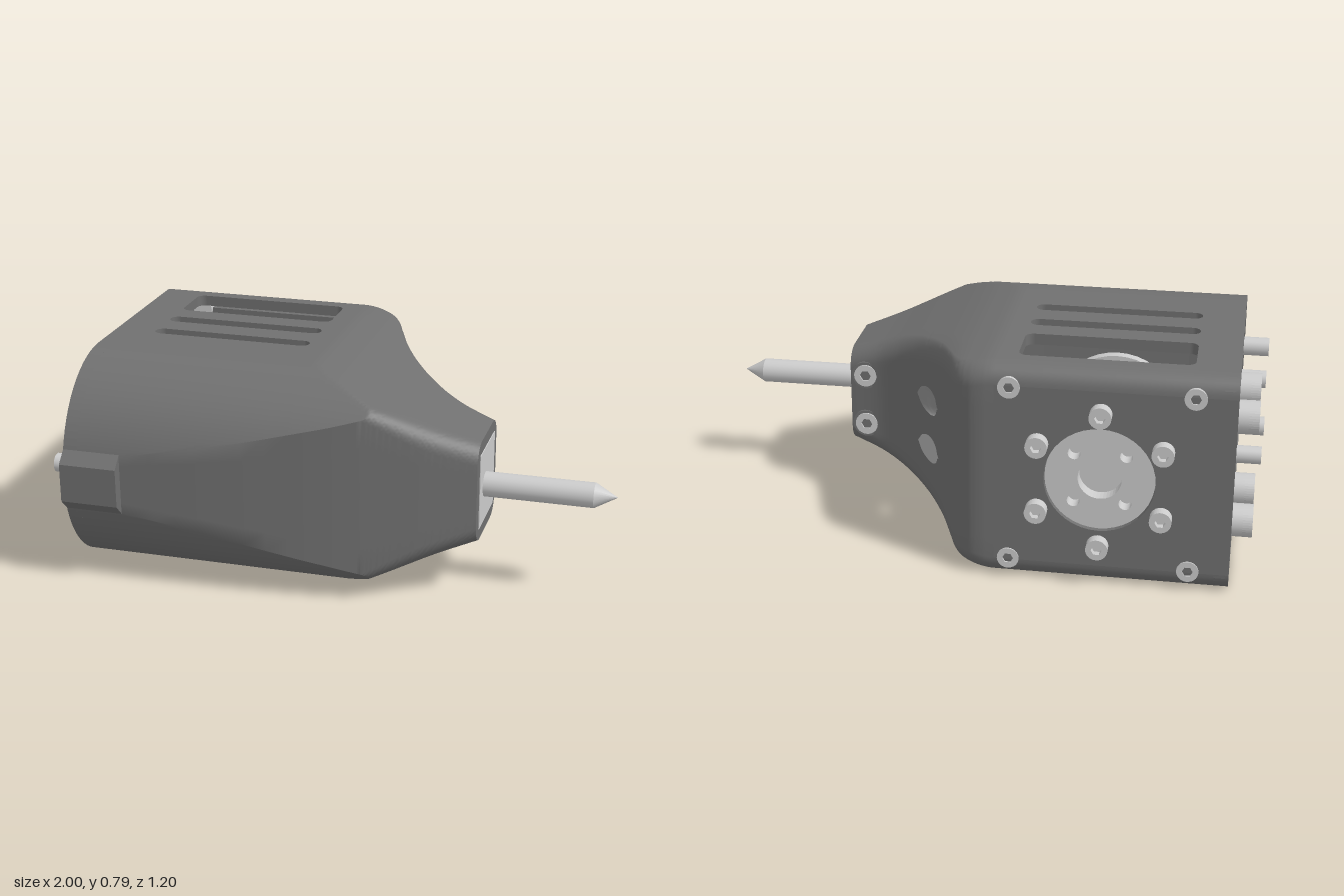
import * as THREE from 'three';
import { toCreasedNormals } from 'three/addons/utils/BufferGeometryUtils.js';

const CY = 0.395, BACK = -0.56, REAR = -0.91, FLAT_END = -0.1, NOSE = 0.53;
const MX = -0.46; // motor axis
const mat = (color) => new THREE.MeshStandardMaterial({ color, side: THREE.DoubleSide });
const dark = mat(0x707070), mid = mat(0x8c8c8c), light = mat(0xcccccc);

// Monotone smooth interpolation through [x, value] points
function smooth(pts) {
  const s = pts.slice(1).map((p, i) => (p[1] - pts[i][1]) / (p[0] - pts[i][0]));
  const t = pts.map((_, i) => {
    const a = s[Math.max(i - 1, 0)], b = s[Math.min(i, s.length - 1)];
    return a * b > 0 ? (2 * a * b) / (a + b) : 0;
  });
  return (x) => {
    let i = 0;
    while (i < pts.length - 2 && x > pts[i + 1][0]) i++;
    const d = pts[i + 1][0] - pts[i][0], u = (x - pts[i][0]) / d, v = 1 - u;
    return pts[i][1] * (1 + 2 * u) * v * v + pts[i + 1][1] * u * u * (3 - 2 * u)
      + t[i] * d * u * v * v - t[i + 1] * d * u * u * v;
  };
}
const backZ = smooth([[-0.91, BACK], [-0.07, BACK], [-0.03, -0.556], [0, -0.545], [0.03, -0.523], [0.055, -0.485],
  [0.08, -0.425], [0.13, -0.31], [0.2, -0.195], [0.27, -0.115], [0.35, -0.055], [0.43, -0.02], [0.53, 0]]);
const frontZ = smooth([[-0.91, 0.57], [-0.7, 0.557], [-0.4, 0.538], [0, 0.485], [0.3, 0.41], [0.53, 0.335]]);
const halfH = smooth([[-0.91, CY], [-0.1, CY], [0, 0.378], [0.2, 0.31], [0.4, 0.23], [0.53, 0.185]]);
const dome = (z) => (z < 0.2 ? CY : CY * Math.sqrt(Math.max(0, 1 - ((z - 0.2) / 0.37) ** 2)));

// Closed cross-section [z, y] at x; the third wall segment spans the access hole
const HALF = 46;
function section(x) {
  const zb = backZ(x), zf = frontZ(x), h = halfH(x), rb = 0.07;
  const rf = 0.07 * THREE.MathUtils.smoothstep(x, -0.2, 0.4) + 0.0001;
  const w = 0.05 * Math.sqrt(Math.max(0, 1 - ((zb + 0.205) / 0.065) ** 2));
  const half = [], wall = h - rb, lo = 0.095 - w, hi = 0.095 + w;
  for (let i = 0; i <= 3; i++) half.push([zb, (lo * i) / 3]);
  for (let i = 0; i <= 3; i++) half.push([zb, hi + ((wall - hi) * i) / 3]);
  for (let i = 1; i <= 8; i++) {
    const a = (i / 8) * Math.PI / 2;
    half.push([zb + rb - rb * Math.cos(a), wall + rb * Math.sin(a)]);
  }
  const zs = Math.min(0.2, zf - rf);
  for (let i = 1; i <= 4; i++) half.push([zb + rb + ((zs - zb - rb) * i) / 4, h]);
  let f = h;
  for (let i = 1; i <= 24; i++) {
    const z = zs + (zf - zs) * Math.sin((i / 24) * Math.PI / 2), d = Math.max(0, z - zf + rf);
    f = Math.min(h, dome(z), h - rf + Math.sqrt(Math.max(0, rf * rf - d * d)));
    half.push([z, f]);
  }
  for (let i = 1; i <= 3; i++) half.push([zf, f * (1 - i / 3)]);
  const lower = half.slice(1, -1).reverse().map(([z, y]) => [z, -y]);
  return half.concat(lower);
}

function shellGeometry() {
  const xs = [];
  for (let i = 0; i < 10; i++) xs.push(REAR + ((FLAT_END - REAR) * i) / 10);
  for (let i = 0; i <= 90; i++) xs.push(FLAT_END + ((NOSE - FLAT_END) * i) / 90);
  const pos = [], idx = [], n = HALF * 2;
  xs.forEach((x) => section(x).forEach(([z, y]) => pos.push(x, y + CY, z)));
  for (let i = 0; i < xs.length - 1; i++) for (let j = 0; j < n; j++) {
    const k = j < HALF ? j : n - 1 - j;
    // flat rear walls are separate plates; segment 3 is the hole
    if (k === 3 || (i < 10 && (k < 7 || (k >= 15 && k < 19)))) continue;
    const a = i * n + j, c = i * n + ((j + 1) % n);
    idx.push(a, c, a + n, c, c + n, a + n);
  }
  const g = new THREE.BufferGeometry();
  g.setAttribute('position', new THREE.Float32BufferAttribute(pos, 3));
  g.setIndex(idx);
  return toCreasedNormals(g, 0.5);
}

function roundRect(x0, y0, x1, y1, r) {
  const p = new THREE.Path(), q = Math.PI / 2;
  p.absarc(x1 - r, y1 - r, r, 0, q);
  p.absarc(x0 + r, y1 - r, r, q, 2 * q);
  p.absarc(x0 + r, y0 + r, r, 2 * q, 3 * q);
  p.absarc(x1 - r, y0 + r, r, 3 * q, 4 * q);
  p.closePath();
  return p;
}
const rect = (x0, y0, x1, y1) => new THREE.Shape([[x0, y0], [x1, y0], [x1, y1], [x0, y1]].map((p) => new THREE.Vector2(...p)));
const circle = (x, y, r) => new THREE.Path().absarc(x, y, r, 0, Math.PI * 2);
const extrude = (shape, depth) => new THREE.ExtrudeGeometry(shape, { depth, bevelEnabled: false, curveSegments: 20 });
// Extrude a [z, y] outline along +x
const outline = (pts, k = [1, 1]) => pts.map(([z, y]) => new THREE.Vector2(-z * k[0], y * k[1]));
const alongX = (shape, x, depth) => extrude(shape, depth).rotateY(Math.PI / 2).translate(x, 0, 0);

export function createModel() {
  const model = new THREE.Group();
  const add = (name, geo, material, parent = model) => {
    const m = new THREE.Mesh(geo, material);
    m.name = name;
    parent.add(m);
    return m;
  };
  const cylX = (name, r, x0, x1, y, z) => add(name, new THREE.CylinderGeometry(r, r, x1 - x0, 24)
    .rotateZ(Math.PI / 2).translate((x0 + x1) / 2, y, z), light);
  const cylZ = (name, r, z0, z1, x = MX, y = CY, m = light) => add(name, new THREE.CylinderGeometry(r, r, z1 - z0, 40)
    .rotateX(Math.PI / 2).translate(x, y, (z0 + z1) / 2), m);

  // Socket-head screw; the head's open end points along dir
  const screw = (name, r, len, tip, dir) => {
    const g = new THREE.Group();
    g.name = name;
    const head = new THREE.Shape().absarc(0, 0, r, 0, Math.PI * 2);
    head.holes.push(new THREE.Path(Array.from({ length: 6 }, (_, i) =>
      new THREE.Vector2(Math.cos(i * Math.PI / 3), Math.sin(i * Math.PI / 3)).multiplyScalar(r * 0.5))));
    add('screwHead', extrude(head, r * 0.6).translate(0, 0, -r * 0.6), light, g);
    add('screwBody', new THREE.CylinderGeometry(r, r, len - r * 0.6, 24).rotateX(Math.PI / 2)
      .translate(0, 0, -(len + r * 0.6) / 2), light, g);
    g.quaternion.setFromUnitVectors(new THREE.Vector3(0, 0, 1), new THREE.Vector3(...dir));
    g.position.set(...tip);
    model.add(g);
  };

  // Housing shell with slotted top and bottom plates
  add('housingShell', shellGeometry(), dark);
  for (const [name, y] of [['top', 2 * CY - 0.04], ['bottom', 0]]) {
    const plate = rect(REAR, -0.2, FLAT_END, 0.49);
    const slots = name === 'top' ? [[-0.45, -0.25, 0.03], [-0.165, -0.105, 0.029], [-0.012, 0.045, 0.028]]
      : [-0.42, -0.28, -0.135, 0.017].map((z) => [z - 0.029, z + 0.029, 0.028]);
    slots.forEach(([z0, z1, r]) => plate.holes.push(roundRect(-0.76, -z1, -0.165, -z0, r)));
    add(name + 'SlottedPlate', extrude(plate, 0.04).rotateX(-Math.PI / 2).translate(0, y, 0), dark);
  }

  // Back wall with round opening, output disc and screws
  const wall = rect(REAR, 0.07, FLAT_END, 2 * CY - 0.07);
  wall.holes.push(circle(MX, CY, 0.19));
  add('backWall', extrude(wall, 0.04).translate(0, 0, BACK), dark);
  const disc = new THREE.Shape().absarc(MX, CY, 0.188, 0, Math.PI * 2);
  disc.holes.push(circle(MX, CY, 0.075));
  for (let i = 0; i < 4; i++) {
    const a = i * Math.PI / 2 + Math.PI / 4;
    disc.holes.push(circle(MX + 0.125 * Math.cos(a), CY + 0.125 * Math.sin(a), 0.022));
  }
  add('outputDisc', extrude(disc, 0.05).translate(0, 0, BACK + 0.015), light);
  for (let i = 0; i < 6; i++) {
    const a = i * Math.PI / 3 + Math.PI / 6;
    screw('ringScrew', 0.038, 0.16, [MX + 0.245 * Math.cos(a), CY + 0.245 * Math.sin(a), -0.6], [0, 0, -1]);
  }
  for (const sx of [-1, 1]) for (const sy of [-1, 1])
    screw('cornerScrew', 0.038, 0.06, [MX + sx * 0.31, CY + sy * 0.32, -0.565], [0, 0, -1]);

  // Motor seen through the slots
  cylZ('motorBody', 0.195, -0.42, -0.25);
  cylZ('motorCollar', 0.17, -0.45, -0.42);
  cylZ('motorCore', 0.13, -0.25, 0.01);
  cylZ('motorRing', 0.195, -0.18, -0.105);
  cylZ('motorFlange', 0.225, 0.01, 0.045);

  // End rim and recessed end plate
  const ring = section(REAR), inset = [0.935, 0.91];
  const rim = new THREE.Shape(outline(ring));
  rim.holes.push(new THREE.Path(outline(ring, inset)));
  add('endRim', alongX(rim, REAR, 0.05).translate(0, CY, 0), dark);
  add('endPlate', alongX(new THREE.Shape(outline(ring, inset)), REAR + 0.015, 0.03).translate(0, CY, 0), mid);
  for (const z of [-0.39, -0.145]) for (const s of [-1, 1]) {
    screw('endBolt', 0.058, 0.12, [-0.98, CY + s * 0.195, z], [-1, 0, 0]);
    cylX('boltShaft', 0.03, -0.9, -0.69, CY + s * 0.195, z);
  }
  for (let i = 0; i < 4; i++)
    cylX('locatingPin', 0.034, -1, -0.85, CY + 0.22 * Math.sin(i * Math.PI / 2), 0.2 + 0.22 * Math.cos(i * Math.PI / 2));

  // Chamfered lug on the domed side
  const lug = [[0.597, -0.07], [0.597, 0.07], [0.555, 0.112], [0.5, 0.112], [0.5, -0.112], [0.555, -0.112]];
  add('frontLug', alongX(new THREE.Shape(outline(lug)), REAR, 0.21).translate(0, CY, 0), dark);

  // Nose face, clamp block and its screws
  add('noseFace', alongX(new THREE.Shape(outline(section(NOSE))), NOSE - 0.02, 0.02).translate(0, CY, 0), dark);
  add('noseBlock', new THREE.BoxGeometry(0.1, 0.277, 0.247).translate(NOSE - 0.047, CY, 0.168), light);
  for (const s of [-1, 1]) {
    cylZ('screwPocket', 0.052, -0.016, 0.04, 0.47, CY + s * 0.097, dark);
    screw('noseScrew', 0.042, 0.07, [0.47, CY + s * 0.097, -0.022], [0, 0, -1]);
  }

  // Pointed shaft
  cylX('shaft', 0.045, 0.5, 0.92, CY, 0.203);
  add('shaftTip', new THREE.ConeGeometry(0.045, 0.08, 24).rotateZ(-Math.PI / 2).translate(0.96, CY, 0.203), light);
  return model;
}
